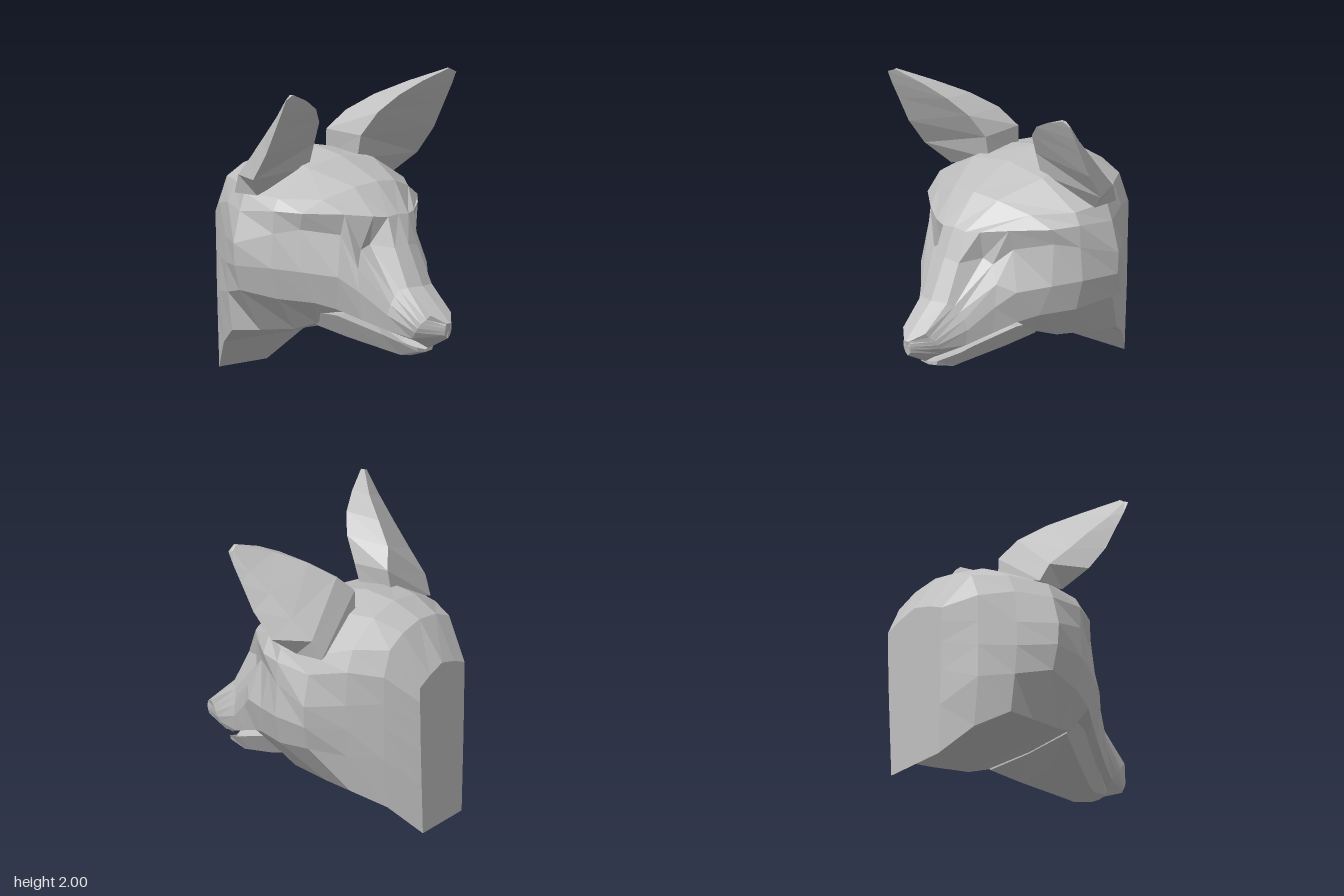
import * as THREE from 'three';

const fur = new THREE.MeshStandardMaterial({ color: 0xc0c0c0, flatShading: true });
fur.name = 'plain grey';

// Half sections run from the top centre round the left side to the bottom centre.

// Neck and skull: flat sections, [z, [x, y] ...]
const skull = [
  [-0.92, [0, 1.14], [0.15, 1.1], [0.27, 1.05], [0.27, 0.95], [0.265, 0.8], [0.26, 0.6], [0.25, 0.35], [0.235, 0], [0, 0]],
  [-0.74, [0, 1.41], [0.2, 1.38], [0.36, 1.31], [0.43, 1.14], [0.43, 0.95], [0.43, 0.78], [0.43, 0.55], [0.39, 0.2], [0, 0.2]],
  [-0.54, [0, 1.5], [0.25, 1.46], [0.5, 1.32], [0.57, 1.18], [0.59, 0.95], [0.59, 0.78], [0.57, 0.58], [0.53, 0.32], [0, 0.32]],
  [-0.32, [0, 1.53], [0.3, 1.47], [0.65, 1.28], [0.7, 1.16], [0.76, 0.95], [0.75, 0.8], [0.7, 0.63], [0.5, 0.34], [0, 0.34]],
  [-0.05, [0, 1.48], [0.32, 1.43], [0.62, 1.26], [0.665, 1.18], [0.67, 1.03], [0.69, 0.8], [0.63, 0.59], [0.45, 0.37], [0, 0.36]],
].map(([z, ...pts]) => pts.map(([x, y]) => [x, y, z]));

// Forehead, brow and eye hollows
const face = [
  [[0, 1.34, 0.27], [0.2, 1.32, 0.25], [0.42, 1.25, 0.17], [0.57, 1.17, 0.12], [0.56, 1.06, 0.09], [0.58, 0.78, 0.13], [0.5, 0.57, 0.17], [0.4, 0.42, 0.1], [0, 0.4, 0.1]],
  [[0, 1.14, 0.46], [0.1, 1.13, 0.46], [0.2, 1.14, 0.42], [0.36, 1.16, 0.31], [0.36, 1.02, 0.27], [0.44, 0.75, 0.32], [0.41, 0.53, 0.28], [0.3, 0.55, 0.2], [0, 0.56, 0.15]],
  [[0, 0.95, 0.55], [0.11, 0.93, 0.53], [0.19, 0.95, 0.38], [0.27, 0.92, 0.37], [0.33, 0.8, 0.4], [0.34, 0.65, 0.42], [0.31, 0.46, 0.42], [0.2, 0.48, 0.4], [0, 0.5, 0.4]],
];

// Muzzle down to the nose tip
const muzzle = [
  [[0, 0.68, 0.68], [0.12, 0.68, 0.65], [0.15, 0.66, 0.61], [0.18, 0.62, 0.59], [0.21, 0.57, 0.58], [0.23, 0.5, 0.57], [0.21, 0.39, 0.57], [0.12, 0.38, 0.57], [0, 0.4, 0.57]],
  [[0, 0.54, 0.83], [0.1, 0.51, 0.84], [0.11, 0.48, 0.81], [0.13, 0.45, 0.78], [0.14, 0.42, 0.76], [0.14, 0.39, 0.74], [0.13, 0.345, 0.7], [0.06, 0.31, 0.72], [0, 0.27, 0.73]],
  [[0, 0.455, 0.92], [0.02, 0.455, 0.915], [0.025, 0.45, 0.91], [0.03, 0.44, 0.91], [0.03, 0.42, 0.91], [0.03, 0.4, 0.905], [0.025, 0.375, 0.9], [0.01, 0.36, 0.9], [0, 0.355, 0.905]],
];

// Lower jaw: flat sections, [z, [x, y] ...]
const jaw = [
  [0.08, [0, 0.45], [0.44, 0.5], [0.38, 0.4], [0, 0.385]],
  [0.25, [0, 0.4], [0.37, 0.48], [0.28, 0.33], [0, 0.31]],
  [0.5, [0, 0.29], [0.2, 0.36], [0.13, 0.24], [0, 0.22]],
  [0.57, [0, 0.27], [0.17, 0.33], [0.1, 0.22], [0, 0.205]],
  [0.7, [0, 0.25], [0.08, 0.28], [0.07, 0.25], [0, 0.24]],
].map(([z, ...pts]) => pts.map(([x, y]) => [x, y, z]));

// Left ear from base to tip: inner front, inner back, outer back, outer front
const ear = [
  [[0.24, 1.42, -0.12], [0.22, 1.42, -0.38], [0.66, 1.27, -0.4], [0.66, 1.27, -0.2]],
  [[0.23, 1.58, -0.08], [0.2, 1.6, -0.36], [0.69, 1.4, -0.34], [0.81, 1.4, -0.1]],
  [[0.29, 1.74, 0.02], [0.31, 1.72, -0.29], [0.72, 1.54, -0.2], [0.83, 1.58, 0.03]],
  [[0.41, 1.85, 0.1], [0.43, 1.83, -0.14], [0.75, 1.7, -0.05], [0.835, 1.76, 0.12]],
  [[0.57, 1.93, 0.16], [0.58, 1.92, 0.03], [0.79, 1.84, 0.09], [0.84, 1.88, 0.18]],
  [[0.77, 2, 0.22], [0.78, 2, 0.2], [0.82, 1.97, 0.2], [0.84, 1.97, 0.22]],
];

// Completes a half section with its mirror image
const mirrorRing = half => [...half, ...half.slice(1, -1).reverse().map(([x, y, z]) => [-x, y, z])];

// Skins a row of closed rings, caps both ends and turns all faces outwards
function loft(name, rings) {
  const n = rings[0].length;
  const last = rings.length - 1;
  const points = rings.flat().map(p => new THREE.Vector3(...p));
  const tris = [];
  for (let r = 0; r < last; r++) {
    for (let i = 0; i < n; i++) {
      const a = r * n + i, b = r * n + (i + 1) % n;
      tris.push([a, b, a + n], [b, b + n, a + n]);
    }
  }
  for (const [r, flip] of [[0, true], [last, false]]) {
    const centre = points.length;
    const mid = new THREE.Vector3();
    for (let i = 0; i < n; i++) mid.addScaledVector(points[r * n + i], 1 / n);
    points.push(mid);
    for (let i = 0; i < n; i++) {
      const a = r * n + i, b = r * n + (i + 1) % n;
      tris.push(flip ? [b, a, centre] : [a, b, centre]);
    }
  }
  const volume = tris.reduce((sum, [a, b, c]) =>
    sum + points[a].dot(points[b].clone().cross(points[c])), 0);
  if (volume < 0) tris.forEach(t => t.reverse());

  const geometry = new THREE.BufferGeometry().setFromPoints(tris.flat().map(i => points[i]));
  geometry.computeVertexNormals();
  const mesh = new THREE.Mesh(geometry, fur);
  mesh.name = name;
  return mesh;
}

export function createModel() {
  const model = new THREE.Group();
  model.name = 'animalHead';
  model.add(
    loft('head', [...skull, ...face, ...muzzle].map(mirrorRing)),
    loft('lowerJaw', jaw.map(mirrorRing)),
    loft('leftEar', ear),
    loft('rightEar', ear.map(ring => ring.map(([x, y, z]) => [-x, y, z]))),
  );
  return model;
}
